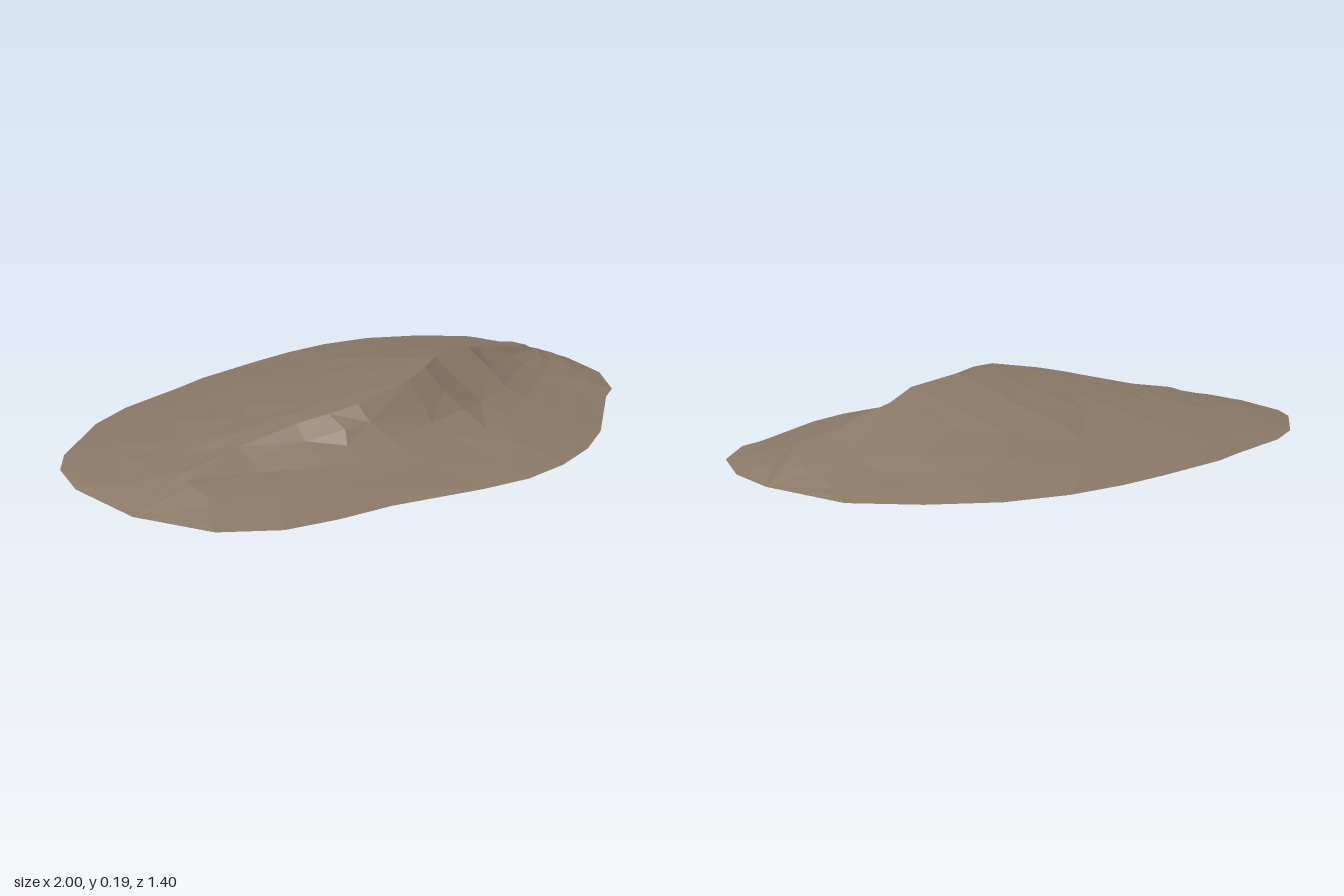
import * as THREE from 'three';

// Matching stations along the mound, from -x to +x, as [x, y, z]
const backRim = [
  [-1, 0, 0.06], [-0.98, 0, -0.2], [-0.92, 0, -0.35], [-0.84, 0, -0.44], [-0.61, 0, -0.59],
  [-0.45, 0, -0.645], [-0.18, 0, -0.68], [-0.07, 0, -0.7], [0.2, 0, -0.705], [0.36, 0, -0.7],
  [0.53, 0, -0.675], [0.7, 0, -0.61], [0.85, 0, -0.49], [0.97, 0, -0.34], [1, 0, -0.06],
];
const crest = [
  [-1, 0, 0.06], [-0.8, 0.055, 0.03], [-0.62, 0.083, 0.06], [-0.46, 0.12, 0.12], [-0.38, 0.14, 0.17],
  [-0.3, 0.157, 0.21], [-0.1, 0.188, 0.235], [0.02, 0.191, 0.2], [0.15, 0.188, 0.14], [0.35, 0.168, 0.125],
  [0.47, 0.14, 0.08], [0.6, 0.11, 0.075], [0.73, 0.08, 0.05], [0.88, 0.045, 0], [1, 0, -0.06],
];
const foot = [
  [-1, 0, 0.06], [-0.84, 0.035, 0.16], [-0.68, 0.043, 0.22], [-0.52, 0.045, 0.27], [-0.41, 0.045, 0.32],
  [-0.28, 0.045, 0.36], [-0.1, 0.045, 0.4], [0.03, 0.045, 0.42], [0.16, 0.045, 0.41], [0.34, 0.045, 0.36],
  [0.51, 0.045, 0.29], [0.64, 0.043, 0.23], [0.78, 0.038, 0.17], [0.91, 0.025, 0.06], [1, 0, -0.06],
];
const frontRim = [
  [-1, 0, 0.06], [-0.93, 0, 0.29], [-0.81, 0, 0.41], [-0.67, 0, 0.47], [-0.52, 0, 0.515],
  [-0.27, 0, 0.63], [-0.13, 0, 0.68], [0.02, 0, 0.695], [0.18, 0, 0.68], [0.34, 0, 0.63],
  [0.65, 0, 0.47], [0.74, 0, 0.44], [0.88, 0, 0.31], [0.97, 0, 0.12], [1, 0, -0.06],
];

// Small seeded noise in -1..1
function makeNoise(seed) {
  let s = seed;
  return () => {
    s = (s * 16807) % 2147483647;
    return (s / 2147483647) * 2 - 1;
  };
}

// Faceted strip between two lines, running from back to front
function slope(name, from, to, steps, heightRule, rough, material, seed) {
  const noise = makeNoise(seed);
  const positions = [];
  const index = [];
  const last = from.length - 1;
  from.forEach((a, i) => {
    const b = to[i];
    for (let r = 0; r <= steps; r++) {
      const t = r / steps;
      const inside = r > 0 && r < steps && i > 0 && i < last ? 1 : 0;
      positions.push(
        THREE.MathUtils.lerp(a[0], b[0], t) + noise() * 0.014 * inside,
        THREE.MathUtils.lerp(a[1], b[1], heightRule(t)) + noise() * rough * inside,
        THREE.MathUtils.lerp(a[2], b[2], t) + noise() * 0.014 * inside,
      );
    }
  });
  const row = steps + 1;
  for (let i = 0; i < last; i++) {
    for (let r = 0; r < steps; r++) {
      const a = i * row + r, b = a + 1, c = a + row, d = c + 1;
      // The two ends taper to a point, so they take one triangle per step
      if (i === 0) index.push(a, d, c);
      else if (i === last - 1) index.push(a, b, c);
      else if ((i + r) % 2) index.push(a, b, c, b, d, c);
      else index.push(a, b, d, a, d, c);
    }
  }
  const geometry = new THREE.BufferGeometry();
  geometry.setAttribute('position', new THREE.Float32BufferAttribute(positions, 3));
  geometry.setIndex(index);
  geometry.computeVertexNormals();
  const mesh = new THREE.Mesh(geometry, material);
  mesh.name = name;
  return mesh;
}

export function createModel() {
  const group = new THREE.Group();
  group.name = 'earthMound';
  const earth = new THREE.MeshStandardMaterial({
    name: 'earth brown', color: 0x8c7a68, flatShading: true, side: THREE.DoubleSide,
  });

  // Long gentle rise at the back
  group.add(slope('backSlope', backRim, crest, 6, (t) => t, 0.003, earth, 11));
  // Steep hollow face below the crest
  group.add(slope('steepFace', crest, foot, 3, (t) => 1 - Math.pow(1 - t, 1.3), 0.007, earth, 29));
  // Low apron out to the front rim
  group.add(slope('frontApron', foot, frontRim, 3, (t) => t, 0.004, earth, 47));
  return group;
}
